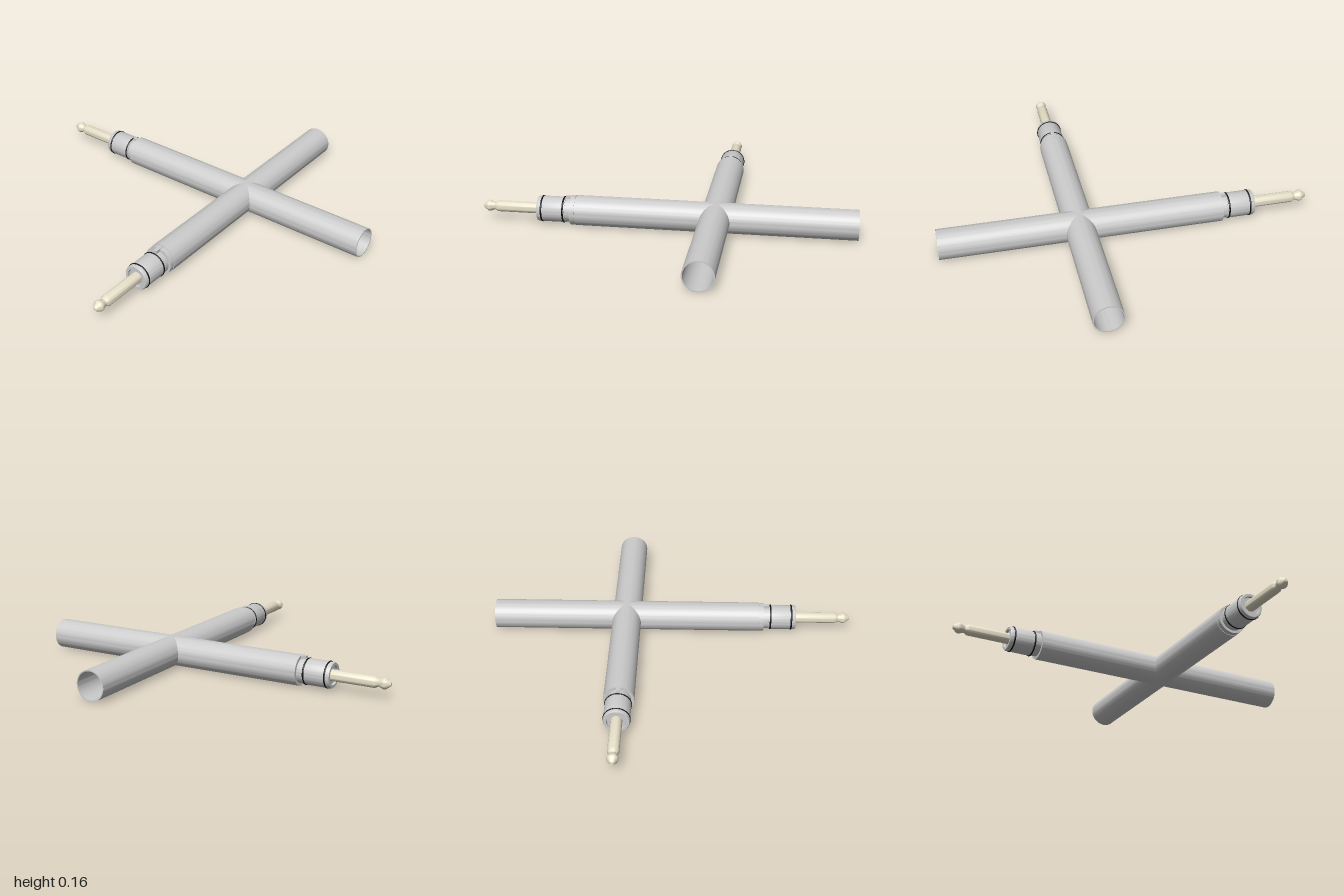
import * as THREE from 'three';
import { toCreasedNormals } from 'three/addons/utils/BufferGeometryUtils.js';

const HUB = 0.257;      // x and z of the crossing
const R = 0.08;         // outer radius of the pipes
const BORE = 0.074;     // inner radius of the pipes
const OPEN_END = 0.743;
const PLUG_END = 0.772;

const grey = new THREE.MeshStandardMaterial({ color: 0xcccccc, side: THREE.DoubleSide });
const cream = new THREE.MeshStandardMaterial({ color: 0xe6dfc8 });
const black = new THREE.MeshStandardMaterial({ color: 0x111111 });

// Turned shape along +x from [distance, radius] pairs
function turned(profile, segments = 64) {
  const points = profile.map(([u, r]) => new THREE.Vector2(r, u));
  return new THREE.LatheGeometry(points, segments).rotateZ(-Math.PI / 2);
}

function addMesh(group, name, geometry, material, crease = 0.5) {
  const mesh = new THREE.Mesh(toCreasedNormals(geometry, crease), material);
  mesh.name = name;
  group.add(mesh);
  return mesh;
}

// Hollow pipe whose hub end is mitred against its neighbours
function pipe(length) {
  const geometry = turned([[0, R], [length, R], [length, BORE], [0, BORE]]);
  const pos = geometry.attributes.position;
  for (let i = 0; i < pos.count; i++) {
    if (Math.abs(pos.getX(i)) < 1e-6) pos.setX(i, Math.abs(pos.getZ(i)));
  }
  return geometry;
}

function plug(withCollar) {
  const group = new THREE.Group();
  group.name = 'plug';

  // Sleeve, hollow at the back and recessed around the pin
  addMesh(group, 'sleeve', turned([
    [0.80, 0], [0.80, 0.054], [0.70, 0.054], [0.70, 0.064], [0.80, 0.064], [0.80, 0.068],
    [0.944, 0.068], [0.952, 0.064], [0.952, 0.05], [0.94, 0.048], [0.94, 0],
  ]), grey);

  // Seat between the pipe bore and the sleeve
  addMesh(group, 'seat', turned([[0.70, 0.064], [0.70, R - 0.003],
    [PLUG_END, R - 0.003], [PLUG_END, 0.064]]), grey);

  if (withCollar) {
    addMesh(group, 'collar', turned([[0.746, 0.074], [0.746, 0.0785],
      [PLUG_END, 0.0785], [PLUG_END, 0.064]]), grey);
  }

  // Sealing rings
  for (const u of [0.81, 0.927]) {
    const ring = addMesh(group, 'sealRing',
      new THREE.TorusGeometry(0.066, 0.005, 10, 64).rotateY(Math.PI / 2), black, 1);
    ring.position.x = u;
  }

  // Locking key on top
  const key = addMesh(group, 'lockingKey', new THREE.BoxGeometry(0.052, 0.018, 0.02), grey);
  key.position.set(0.774, 0.0705, 0);

  // Contact pin with a necked tip
  addMesh(group, 'contactPin', turned([
    [0.93, 0], [0.93, 0.03], [1.174, 0.03], [1.186, 0.024], [1.193, 0.02],
    [1.199, 0.021], [1.214, 0.028], [1.222, 0.03], [1.230, 0.029],
    [1.251, 0.014], [1.257, 0.009], [1.257, 0],
  ], 40), cream);

  // Rear terminal seen through the bore
  if (withCollar) {
    addMesh(group, 'terminal', turned([[0.74, 0], [0.74, 0.034], [0.80, 0.034]], 40), cream);
  } else {
    const tab = addMesh(group, 'terminal', new THREE.BoxGeometry(0.06, 0.064, 0.042), cream);
    tab.position.x = 0.77;
  }
  return group;
}

export function createModel() {
  const model = new THREE.Group();
  model.name = 'crossConnector';

  // Four arms: +x and +z open, -x and -z carrying plugs
  const arms = [
    { name: 'leftArm', turn: 0, length: OPEN_END },
    { name: 'frontArm', turn: -Math.PI / 2, length: OPEN_END },
    { name: 'rightArm', turn: Math.PI, length: 0.743, plug: true, collar: true },
    { name: 'backArm', turn: Math.PI / 2, length: PLUG_END, plug: true, collar: false },
  ];
  for (const spec of arms) {
    const arm = new THREE.Group();
    arm.name = spec.name;
    arm.position.set(HUB, R, HUB);
    arm.rotation.y = spec.turn;
    addMesh(arm, 'pipe', pipe(spec.length), grey);
    if (spec.plug) arm.add(plug(spec.collar));
    model.add(arm);
  }
  return model;
}
